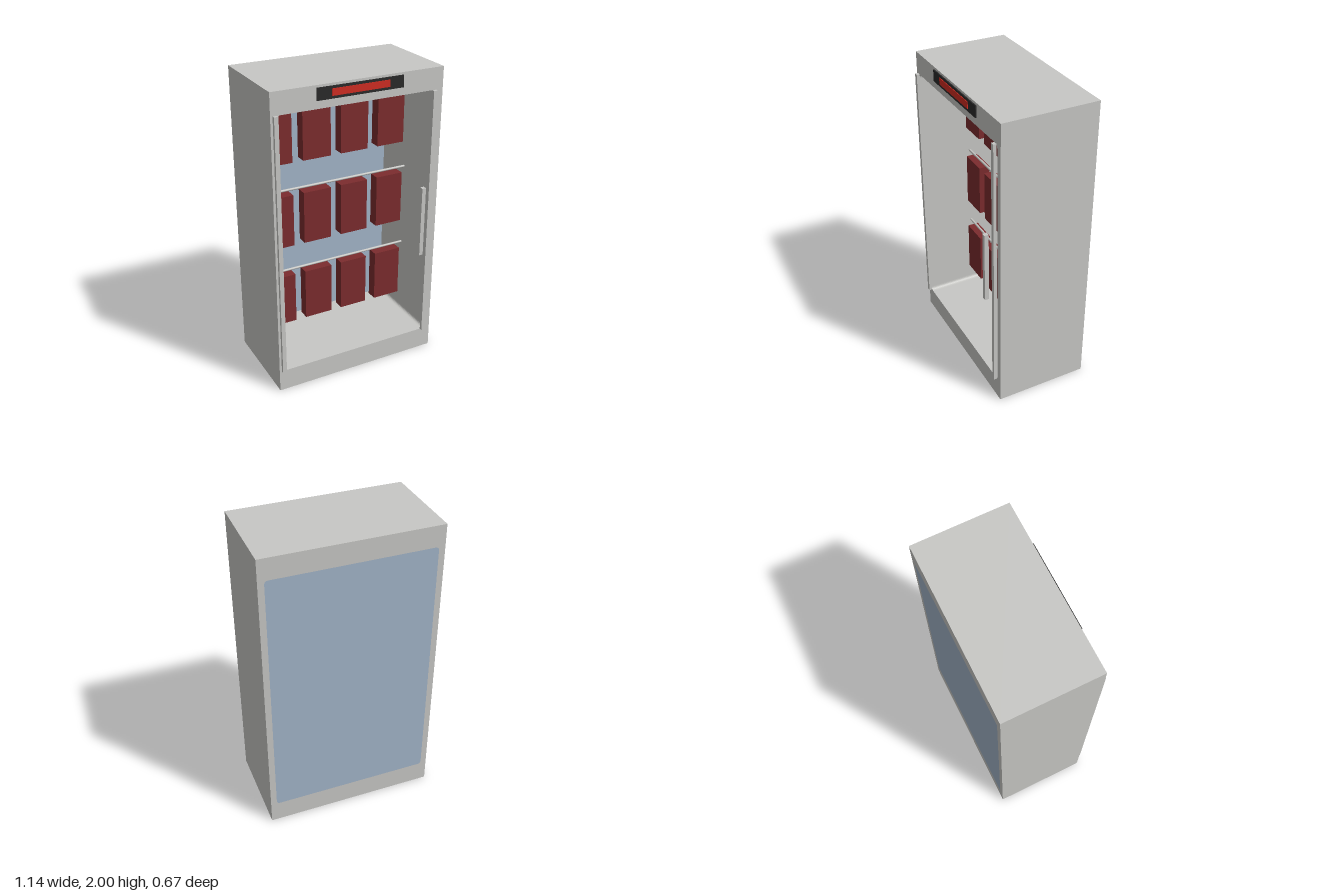
import * as THREE from 'three';

const paint = (name, color) => {
  const m = new THREE.MeshStandardMaterial({ color });
  m.name = name;
  return m;
};

// Rounded rectangle outline, used for the cabinet opening and the back panel
function roundedRect(target, x0, y0, x1, y1, r) {
  target.moveTo(x0 + r, y0);
  target.lineTo(x1 - r, y0);
  target.quadraticCurveTo(x1, y0, x1, y0 + r);
  target.lineTo(x1, y1 - r);
  target.quadraticCurveTo(x1, y1, x1 - r, y1);
  target.lineTo(x0 + r, y1);
  target.quadraticCurveTo(x0, y1, x0, y1 - r);
  target.lineTo(x0, y0 + r);
  target.quadraticCurveTo(x0, y0, x0 + r, y0);
  return target;
}

export function createModel() {
  const group = new THREE.Group();
  const grey = paint('cabinet grey', 0xc8c8c5);
  const blue = paint('panel blue', 0xa3b5c9);
  const maroon = paint('package maroon', 0x7c2c2e);
  const black = paint('sign black', 0x2a2a2a);
  const red = paint('sign red', 0xd02c22);

  const add = (name, geometry, material) => {
    const mesh = new THREE.Mesh(geometry, material);
    mesh.name = name;
    group.add(mesh);
    return mesh;
  };
  // Box given by its extents on each axis
  const box = (name, material, [x0, x1], [y0, y1], [z0, z1]) =>
    add(name, new THREE.BoxGeometry(x1 - x0, y1 - y0, z1 - z0), material)
      .position.set((x0 + x1) / 2, (y0 + y1) / 2, (z0 + z1) / 2);

  const back = -0.335, front = 0.285;
  const opening = [-0.53, 0.145, 0.53, 1.86, 0.025];

  // Cabinet shell with its opening
  const shell = new THREE.Shape();
  shell.moveTo(-0.57, 0);
  shell.lineTo(0.57, 0);
  shell.lineTo(0.57, 2);
  shell.lineTo(-0.57, 2);
  shell.closePath();
  shell.holes.push(roundedRect(new THREE.Path(), ...opening));
  add('cabinet', new THREE.ExtrudeGeometry(shell, {
    depth: front - back, bevelEnabled: false, curveSegments: 6,
  }), grey).position.z = back;

  // Panel closing the back of the opening, flush with the shell
  add('backPanel', new THREE.ExtrudeGeometry(roundedRect(new THREE.Shape(), ...opening), {
    depth: 0.02, bevelEnabled: false, curveSegments: 6,
  }), blue).position.z = back;

  // Door posts and handle
  box('leftPost', grey, [0.495, 0.522], [0.145, 1.86], [front, 0.305]);
  box('rightPost', grey, [-0.555, -0.528], [0.145, 1.86], [front, 0.305]);
  box('handle', grey, [0.428, 0.455], [0.765, 1.24], [0.303, 0.331]);

  // Illuminated sign
  box('signPlate', black, [-0.285, 0.285], [1.91, 1.985], [front, 0.293]);
  box('signLight', red, [-0.19, 0.19], [1.927, 1.97], [0.293, 0.297]);

  // Rails, each with a row of hanging packages
  for (const y of [1.812, 1.239, 0.669]) {
    const rail = add('rail', new THREE.CylinderGeometry(0.008, 0.008, 1.06, 10), grey);
    rail.rotation.z = Math.PI / 2;
    rail.position.set(0, y, -0.052);
    for (let i = 0; i < 4; i++) {
      const x = -0.5 + i * 0.266;
      box('package', maroon, [x, x + 0.193], [y - 0.38, y - 0.026], [-0.09, -0.015]);
    }
  }
  return group;
}
